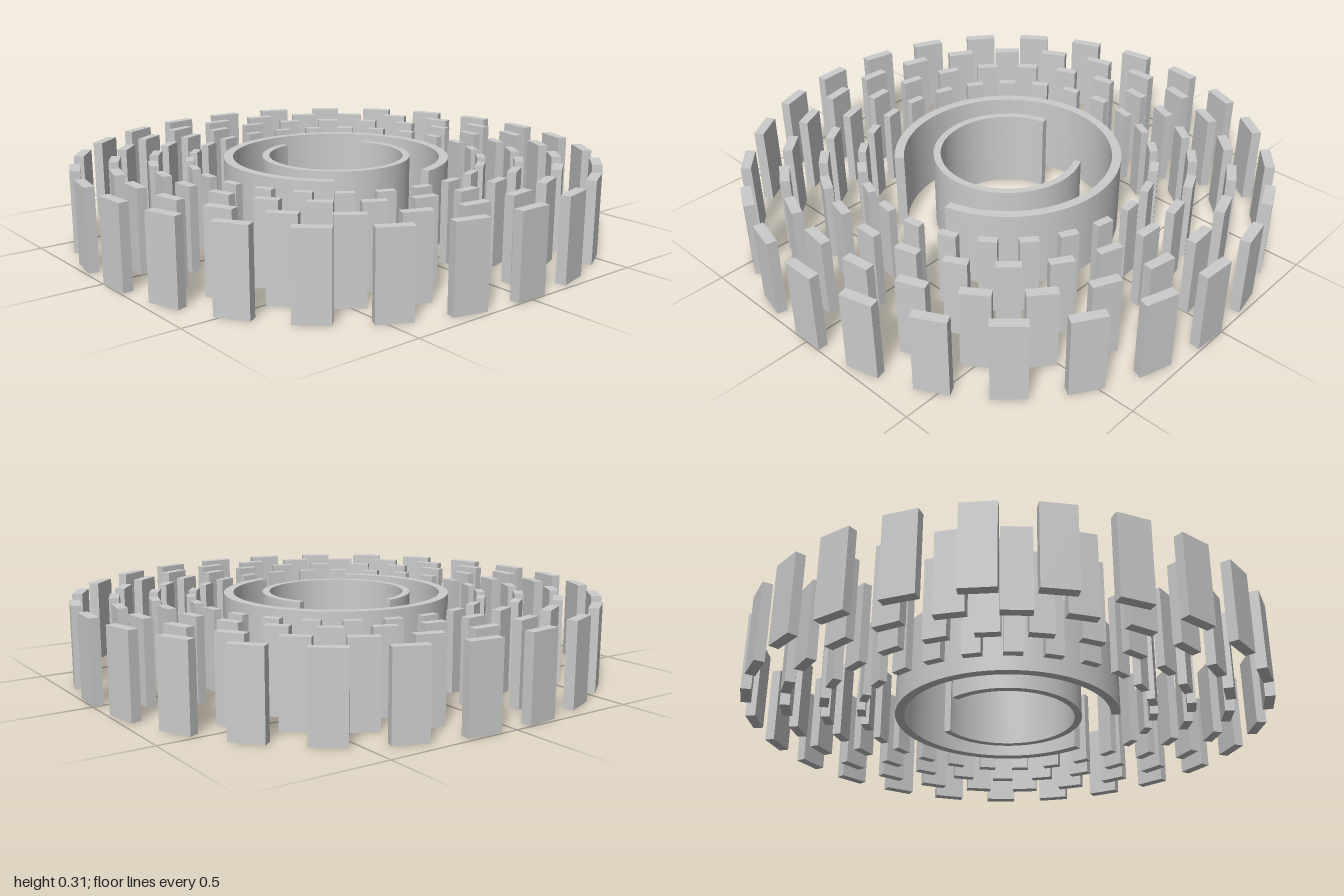
import * as THREE from 'three';
import { toCreasedNormals } from 'three/addons/utils/BufferGeometryUtils.js';

const material = new THREE.MeshStandardMaterial({ color: 0xcccccc });
const RAD = Math.PI / 180;
const BLOCKS_PER_RING = 25;

// Ring of upright slabs, each facing outwards
function blockRing(name, radius, thickness, length, height, startDeg) {
  const ring = new THREE.Group();
  ring.name = name;
  const geometry = new THREE.BoxGeometry(thickness, height, length);
  for (let i = 0; i < BLOCKS_PER_RING; i++) {
    const a = startDeg * RAD + (i / BLOCKS_PER_RING) * Math.PI * 2;
    const block = new THREE.Mesh(geometry, material);
    block.name = 'block';
    block.position.set(radius * Math.cos(a), height / 2, radius * Math.sin(a));
    block.rotation.y = -a;
    ring.add(block);
  }
  return ring;
}

// Upright curved wall with an opening; angles run from +x towards +z
function arcWall(name, inner, outer, height, startDeg, endDeg) {
  const shape = new THREE.Shape();
  shape.absarc(0, 0, outer, startDeg * RAD, endDeg * RAD, false);
  shape.absarc(0, 0, inner, endDeg * RAD, startDeg * RAD, true);
  const extruded = new THREE.ExtrudeGeometry(shape, { depth: height, bevelEnabled: false, curveSegments: 72 });
  extruded.rotateX(Math.PI / 2).translate(0, height, 0);
  const wall = new THREE.Mesh(toCreasedNormals(extruded, 30 * RAD), material);
  wall.name = name;
  return wall;
}

export function createModel() {
  const model = new THREE.Group();
  model.name = 'concentricRings';

  // Two open curved walls at the centre
  model.add(arcWall('innerWall', 0.256, 0.283, 0.302, 242, 530));
  model.add(arcWall('outerWall', 0.395, 0.43, 0.302, 40, 348));

  // Four rings of slabs, staggered by half a step from ring to ring
  model.add(blockRing('firstBlockRing', 0.556, 0.031, 0.067, 0.298, 180));
  model.add(blockRing('secondBlockRing', 0.695, 0.034, 0.086, 0.305, 0));
  model.add(blockRing('thirdBlockRing', 0.838, 0.037, 0.106, 0.305, 180));
  model.add(blockRing('fourthBlockRing', 0.978, 0.038, 0.124, 0.305, 0));

  return model;
}
